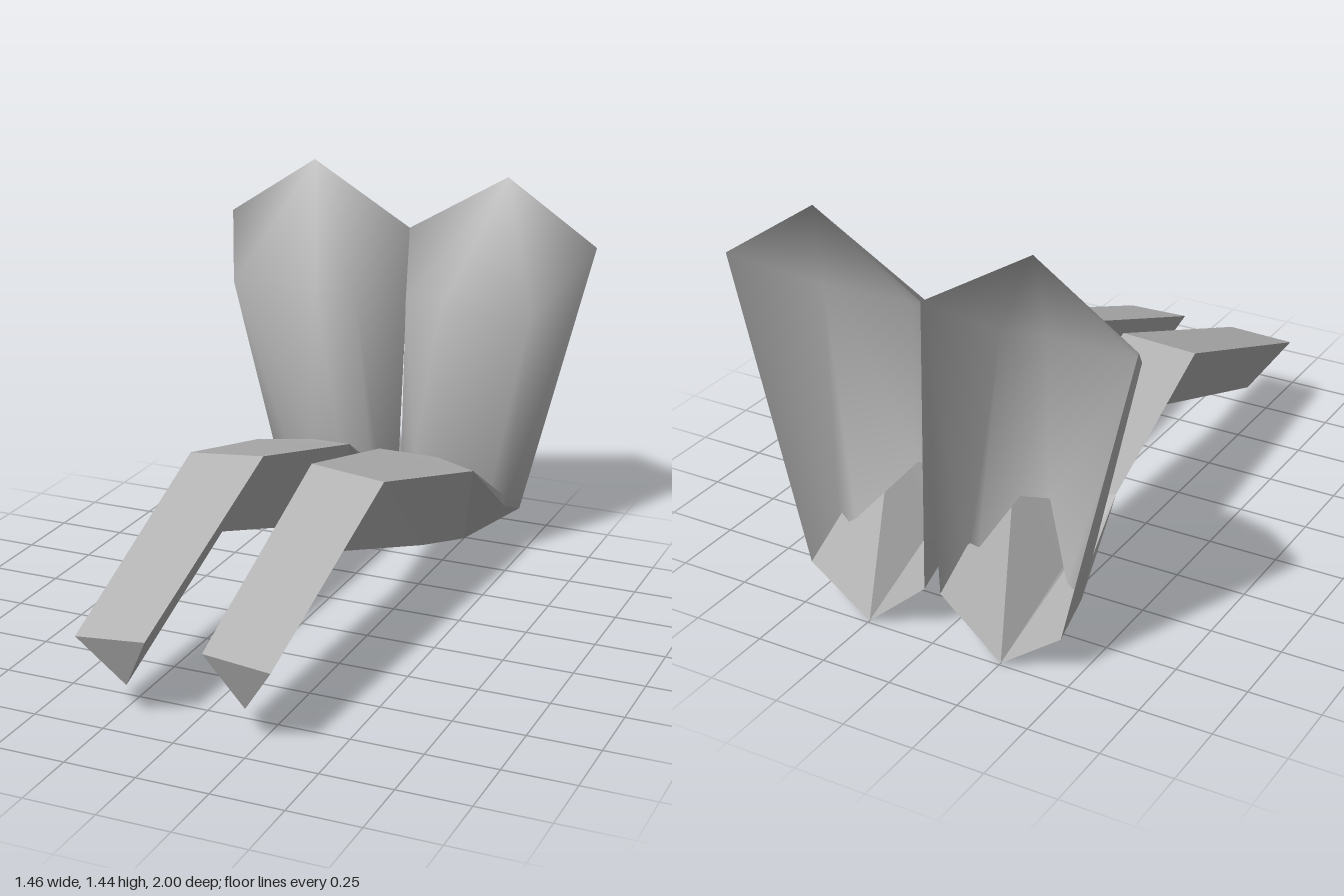
import * as THREE from 'three';

// Corner points of one side (+x); the other side is mirrored.
const P = {
  // limb sections, front to back: inner, outer, bottom
  i0: [0.10, 0.32, 0.985], o0: [0.34, 0.305, 1.0], b0: [0.21, 0.12, 0.91],
  i1: [0.09, 0.655, 0.12], o1: [0.36, 0.635, 0.135], b1: [0.22, 0.38, 0.18],
  i2: [0.06, 0.48, -0.57], o2: [0.43, 0.45, -0.56], b2: [0.24, 0.13, -0.56],
  // open rear end of the limb
  i3: [0.03, 0.19, -0.99], o3: [0.47, 0.16, -0.99], b3: [0.25, 0, -0.99],
  // seam where the limb meets the shell
  mi: [0.04, 0.24, -0.84], ri: [0.07, 0.28, -0.82], rj: [0.15, 0.43, -0.69],
  rt: [0.25, 0.44, -0.672], ro: [0.40, 0.26, -0.83], mo: [0.46, 0.22, -0.84],
  // shell front edge and rear rim
  f0: [0.10, 1.014, -0.71], f1: [0.25, 1.02, -0.68], f2: [0.585, 1.014, -0.69],
  a0: [0, 1.21, -1.0], a1: [0.385, 1.44, -0.99], a2: [0.73, 1.21, -0.99],
};

// Faces as corner names, counter-clockwise seen from outside
const limbFaces = ['i0 b0 o0'];
for (let k = 0; k < 2; k++) {
  const n = k + 1;
  limbFaces.push(
    `i${k} o${k} o${n} i${n}`, // top
    `o${k} b${k} b${n} o${n}`, // outer side
    `i${k} i${n} b${n} b${k}`, // inner side
  );
}
const hipFaces = [
  'o2 b2 b3', 'o2 b3 o3', 'o2 o3 mo', // outer side
  'i2 b3 b2', 'i2 i3 b3', 'i2 mi i3', // inner side
  'i2 o2 rt', 'o2 ro rt', 'i2 rt rj', 'i2 rj ri', // top
  'o2 mo ro', 'i2 ri mi',
];
const shellFaces = [
  'a0 f0 a1', 'a1 f0 f1', 'a1 f1 f2', 'a1 f2 a2', // sloping top
  'f0 rj f1', 'rj rt f1', 'f1 rt f2', 'rt ro f2', // front
  'f2 ro mo', 'f2 mo a2', 'a2 mo o3', // outer wall
  'f0 ri rj', 'a0 mi f0', 'mi ri f0', 'a0 i3 mi', // inner wall
];

function makePart(name, faces, side, smooth, material) {
  const names = Object.keys(P);
  const index = [];
  for (const face of faces) {
    const c = face.split(' ').map((n) => names.indexOf(n));
    if (side < 0) c.reverse(); // keep the outside facing out when mirrored
    for (let k = 1; k < c.length - 1; k++) index.push(c[0], c[k], c[k + 1]);
  }
  let geometry = new THREE.BufferGeometry();
  const positions = names.flatMap((n) => [P[n][0] * side, P[n][1], P[n][2]]);
  geometry.setAttribute('position', new THREE.Float32BufferAttribute(positions, 3));
  geometry.setIndex(index);
  if (smooth) geometry.computeVertexNormals();
  geometry = geometry.toNonIndexed(); // also drops unused corners
  if (!smooth) geometry.computeVertexNormals();
  const mesh = new THREE.Mesh(geometry, material);
  mesh.name = name;
  return mesh;
}

export function createModel() {
  const grey = new THREE.MeshStandardMaterial({ color: 0xb3b3b3, side: THREE.DoubleSide });
  grey.name = 'light grey';
  const model = new THREE.Group();
  model.name = 'shellsAndLimbs';
  for (const [label, side] of [['left', 1], ['right', -1]]) {
    const half = new THREE.Group();
    half.name = `${label}Half`;
    half.add(
      makePart(`${label}Limb`, limbFaces, side, false, grey),
      makePart(`${label}LimbBase`, hipFaces, side, false, grey),
      makePart(`${label}Shell`, shellFaces, side, true, grey),
    );
    model.add(half);
  }
  return model;
}
